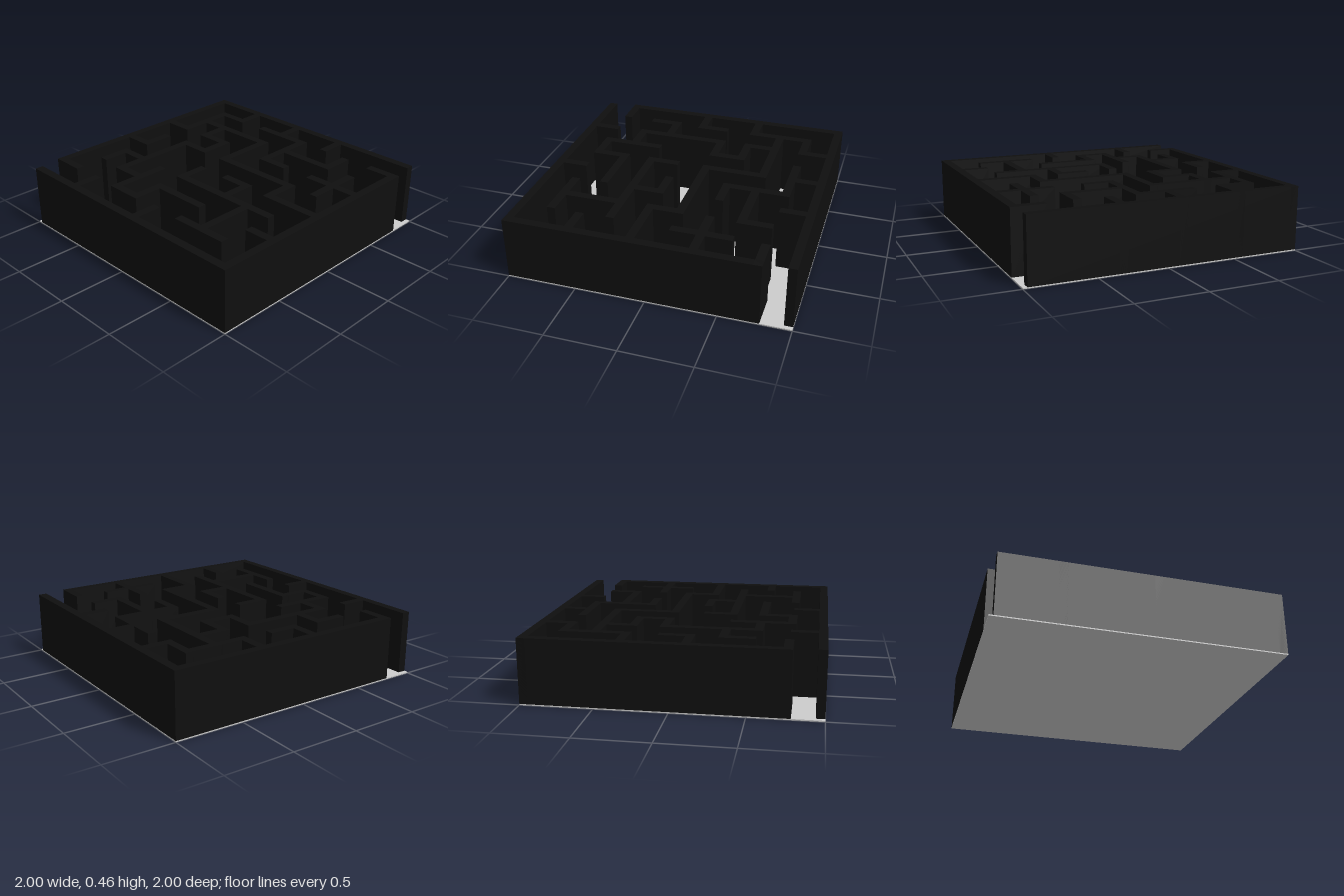
import * as THREE from 'three';

const CELL = 0.2155, HALF = 0.03, FLOOR = 0.008, TOP = 0.46;

// Wall runs on a 10 x 10 lattice of nodes.
// rows[i]: runs along x on lattice row i, as [first column, last column]
const rows = [
  [[0, 9]],
  [[1, 2], [3, 5], [8, 9]],
  [[1, 4], [5, 7]],
  [[0, 1], [2, 3], [5, 6], [7, 9]],
  [[2, 3], [4, 7]],
  [[0, 1], [5, 6], [7, 9]],
  [[1, 2], [4, 8]],
  [[2, 3], [4, 6], [8, 9]],
  [[0, 1], [3, 4], [6, 8]],
  [[0, 9]],
];
// columns[i]: runs along z on lattice column i, as [first row, last row]
const columns = [
  [[0, 8]],
  [[1, 3], [4, 5], [6, 7]],
  [[0, 1], [2, 3], [4, 7], [8, 9]],
  [[3, 4], [6, 8]],
  [[0, 1], [2, 4], [5, 6], [7, 8]],
  [[1, 3], [8, 9]],
  [[0, 1], [5, 6]],
  [[1, 2], [4, 5], [6, 8]],
  [[2, 4]],
  [[1, 9]],
];

const pos = (i) => (i - 4.5) * CELL;

export function createModel() {
  const model = new THREE.Group();
  model.name = 'maze';

  // Thin base plate
  const floor = new THREE.Mesh(
    new THREE.BoxGeometry(2, FLOOR, 2),
    new THREE.MeshStandardMaterial({ color: 0xcccccc })
  );
  floor.name = 'floor';
  floor.position.y = FLOOR / 2;
  model.add(floor);

  const wallMaterial = new THREE.MeshStandardMaterial({ color: 0x0f0f0f });
  const height = TOP - FLOOR;

  // Ends that meet a crossing wall are lengthened to fill the corner; free ends stop at the node
  function addWalls(lines, crossing, alongX, name) {
    const group = new THREE.Group();
    group.name = name;
    lines.forEach((runs, line) => {
      for (const [first, last] of runs) {
        const meets = (node) => crossing[node].some(([a, b]) => a <= line && line <= b);
        const start = pos(first) - (meets(first) ? HALF : 0);
        const end = pos(last) + (meets(last) ? HALF : 0);
        const length = end - start, middle = (start + end) / 2;
        const wall = new THREE.Mesh(
          new THREE.BoxGeometry(alongX ? length : 2 * HALF, height, alongX ? 2 * HALF : length),
          wallMaterial
        );
        wall.name = 'wall';
        wall.position.set(alongX ? middle : pos(line), FLOOR + height / 2, alongX ? pos(line) : middle);
        group.add(wall);
      }
    });
    model.add(group);
  }

  addWalls(rows, columns, true, 'crosswiseWalls');
  addWalls(columns, rows, false, 'lengthwiseWalls');
  return model;
}
